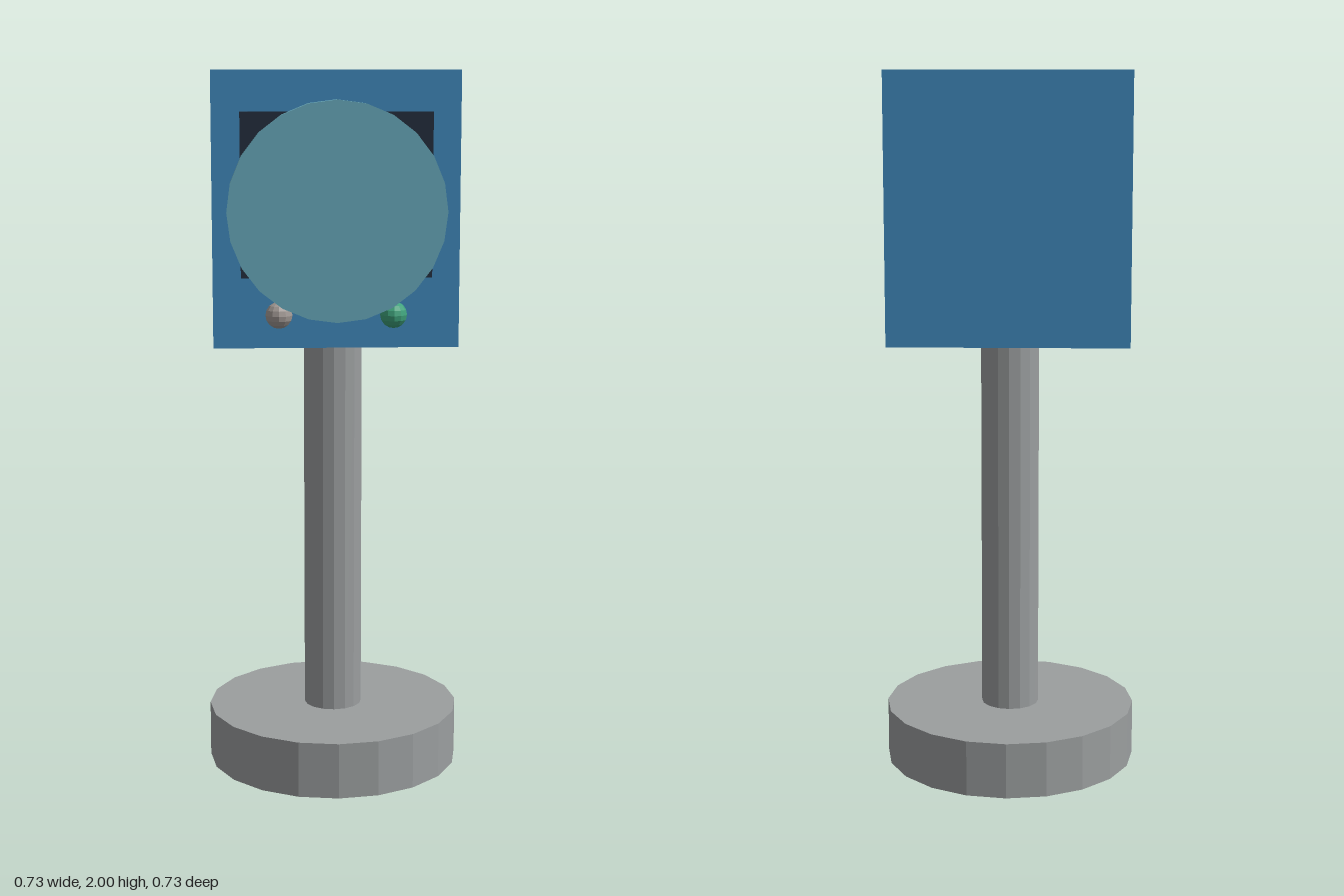
import * as THREE from 'three';

const paint = (name, color) => {
  const m = new THREE.MeshStandardMaterial({ color, flatShading: true });
  m.name = name;
  return m;
};

export function createModel() {
  const group = new THREE.Group();
  const grey = paint('metal grey', 0x9b9e9f);
  const blue = paint('housing blue', 0x4089bc);
  const dark = paint('panel dark', 0x222d3c);
  const teal = paint('dial teal', 0x68a9bb);
  const warm = paint('button warm grey', 0xa39b96);
  const green = paint('button green', 0x3fa37c);

  const add = (name, geometry, material, x, y, z) => {
    const mesh = new THREE.Mesh(geometry, material);
    mesh.name = name;
    mesh.position.set(x, y, z);
    group.add(mesh);
    return mesh;
  };

  // Stand
  add('base', new THREE.CylinderGeometry(0.363, 0.363, 0.16, 20), grey, 0, 0.08, 0);
  add('pole', new THREE.CylinderGeometry(0.083, 0.083, 1.1, 16), grey, 0, 0.705, 0);

  // Housing with the panel on its front
  add('housing', new THREE.BoxGeometry(0.674, 0.75, 0.414), blue, 0, 1.625, 0);
  add('panel', new THREE.BoxGeometry(0.52, 0.445, 0.03), dark, 0, 1.667, 0.215);

  // Large round dial, facing forward
  const dial = new THREE.CylinderGeometry(0.297, 0.297, 0.066, 24).rotateX(Math.PI / 2);
  add('dial', dial, teal, 0, 1.625, 0.246);

  // Round buttons set into the front
  const button = new THREE.SphereGeometry(0.037, 12, 8);
  add('rightButton', button, warm, -0.157, 1.341, 0.21);
  add('leftButton', button, green, 0.157, 1.341, 0.21);

  return group;
}
